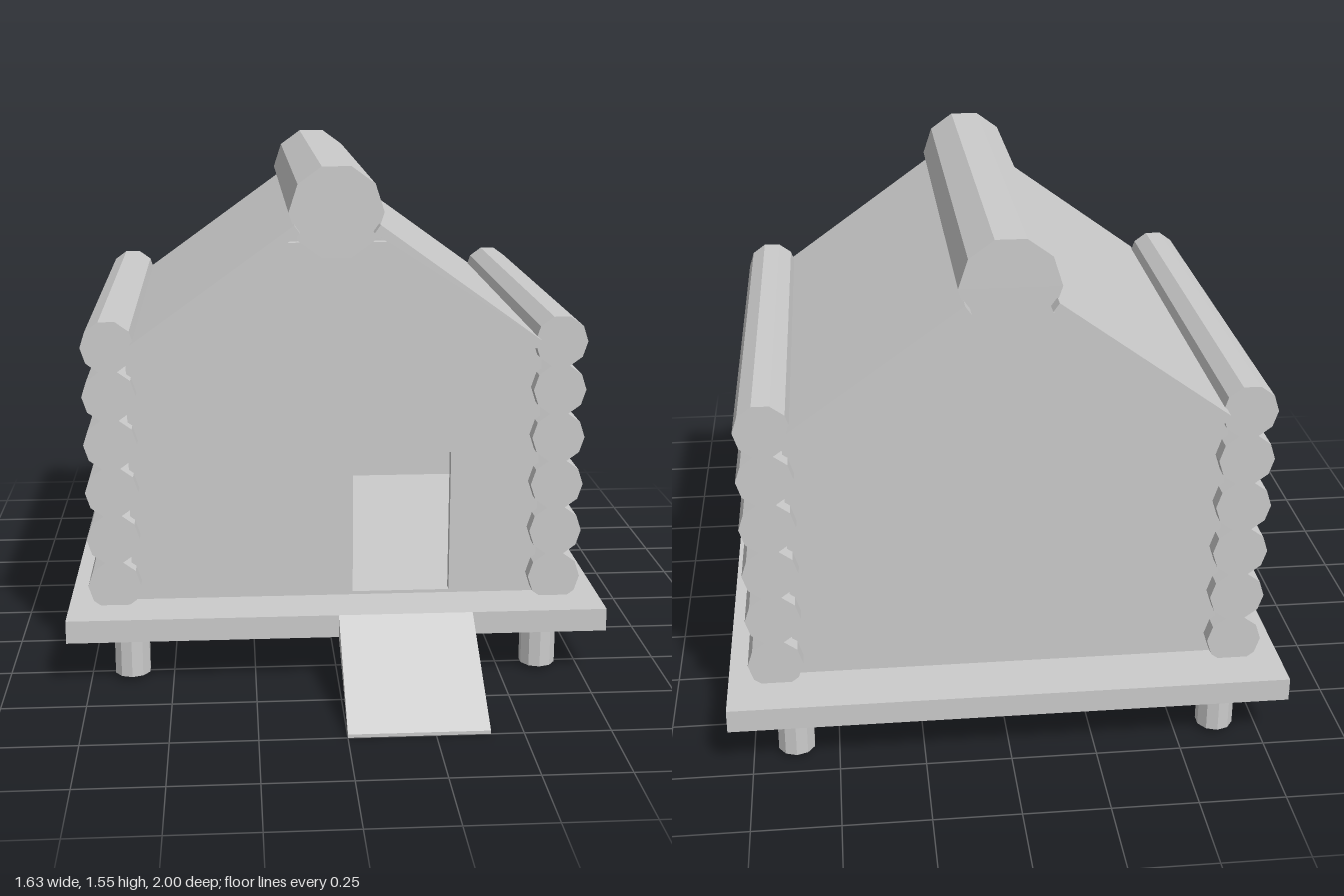
import * as THREE from 'three';

const mat = new THREE.MeshStandardMaterial({ color: 0xcccccc, flatShading: true });

function add(group, geometry, name, x = 0, y = 0, z = 0) {
  const mesh = new THREE.Mesh(geometry, mat);
  mesh.name = name;
  mesh.position.set(x, y, z);
  group.add(mesh);
  return mesh;
}

const toVectors = (points) => points.map(([x, y]) => new THREE.Vector2(x, y));

// Front-view outline extruded from z0 to z1
function prism(points, z0, z1, hole) {
  const shape = new THREE.Shape(toVectors(points));
  if (hole) shape.holes.push(new THREE.Path(toVectors(hole)));
  const g = new THREE.ExtrudeGeometry(shape, { depth: z1 - z0, bevelEnabled: false });
  return g.translate(0, 0, z0);
}

// Ten-sided log along z, with a flat facet on top
function logGeometry(radius, length) {
  return new THREE.CylinderGeometry(radius, radius, length, 10)
    .rotateY(Math.PI / 2)
    .rotateX(Math.PI / 2);
}

export function createModel() {
  const cabin = new THREE.Group();
  cabin.name = 'logCabin';

  // Base platform
  add(cabin, new THREE.BoxGeometry(1.63, 0.07, 1.635), 'platform', 0, 0.185, -0.1825);

  // Short legs
  const leg = new THREE.CylinderGeometry(0.055, 0.055, 0.14, 10);
  for (const x of [-0.625, 0.625])
    for (const z of [-0.888, 0.53]) add(cabin, leg, 'leg', x, 0.085, z);

  // Entrance ramp: side outline (z, y) swept across x
  const ramp = prism([[-0.635, 0.15], [-0.635, 0.22], [-1, 0.01], [-1, 0]], 0, 0.405);
  add(cabin, ramp.rotateY(Math.PI / 2), 'ramp');

  // Stacked side-wall logs
  const logLength = 1.38, logZ = -0.18;
  const wallLog = logGeometry(0.08, logLength);
  for (const x of [-0.675, 0.675])
    for (let i = 0; i < 6; i++) add(cabin, wallLog, 'wallLog', x, 0.282 + i * 0.1484, logZ);

  // Gable walls, the front one with a doorway
  const gable = [[-0.625, 0.22], [0.625, 0.22], [0.625, 0.99], [0.155, 1.322], [-0.155, 1.322], [-0.625, 0.99]];
  const doorway = [[0.055, 0.23], [0.055, 0.675], [0.355, 0.675], [0.355, 0.23]];
  add(cabin, prism(gable, 0.435, 0.465, doorway), 'frontWall');
  add(cabin, prism(gable, -0.825, -0.795), 'backWall');

  // Roof slabs
  const slab = [[0.108, 1.36], [0.59, 1.013], [0.607, 1.037], [0.125, 1.384]];
  add(cabin, prism(slab, -0.915, 0.55), 'leftRoof');
  add(cabin, prism(slab.map(([x, y]) => [-x, y]), -0.915, 0.55), 'rightRoof');

  // Ridge log
  add(cabin, logGeometry(0.14, logLength), 'ridgeLog', 0, 1.416, logZ);

  return cabin;
}
